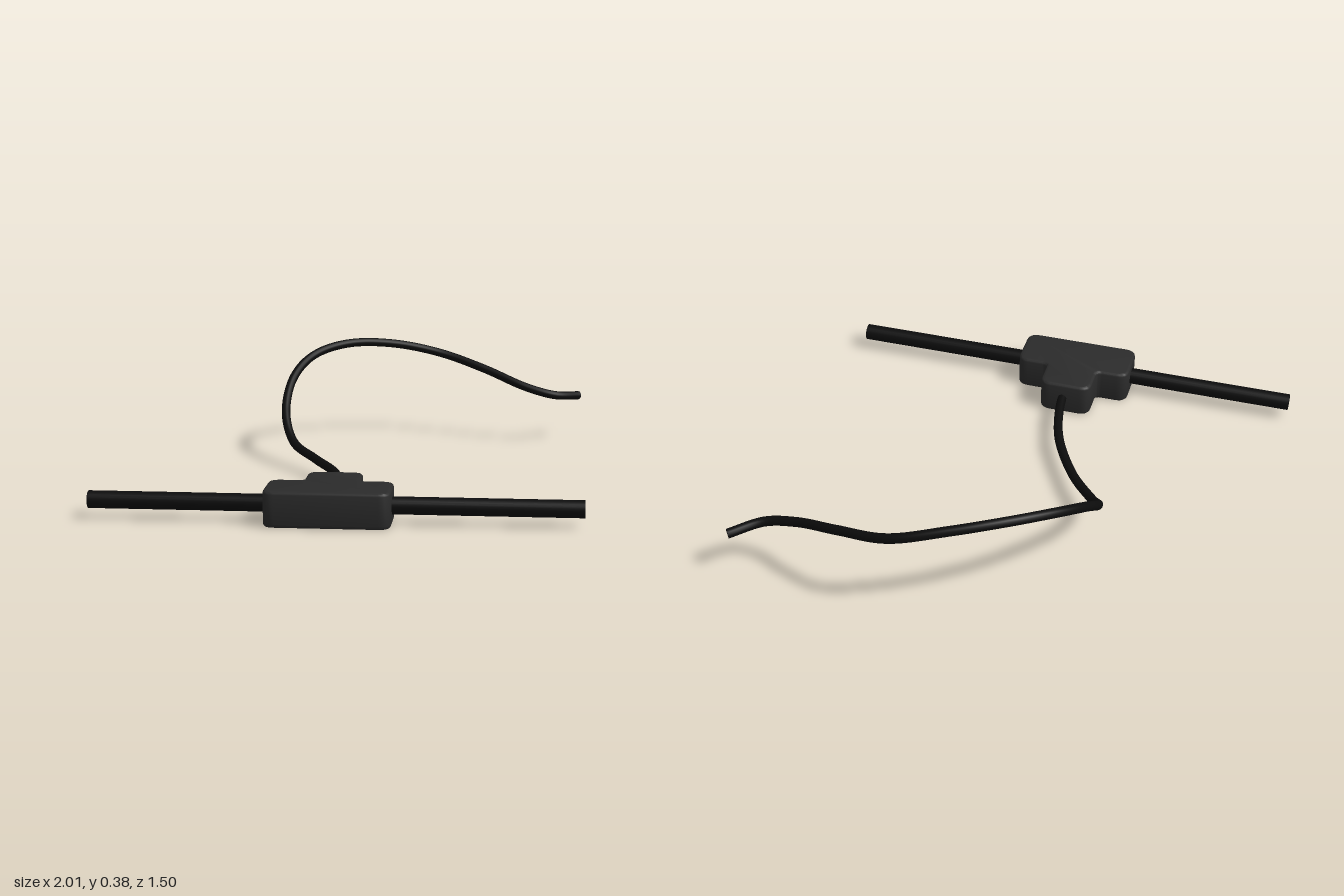
import * as THREE from 'three';
import { toCreasedNormals } from 'three/addons/utils/BufferGeometryUtils.js';

// Polygon outline with every corner rounded
function roundedShape(points, radius) {
  const shape = new THREE.Shape();
  const n = points.length;
  const pts = points.map(([x, y]) => new THREE.Vector2(x, y));
  pts.forEach((p, i) => {
    const toward = (q) => p.clone().add(q.clone().sub(p).setLength(radius));
    const a = toward(pts[(i + n - 1) % n]);
    const b = toward(pts[(i + 1) % n]);
    if (i === 0) shape.moveTo(a.x, a.y);
    else shape.lineTo(a.x, a.y);
    shape.quadraticCurveTo(p.x, p.y, b.x, b.y);
  });
  shape.closePath();
  return shape;
}

export function createModel() {
  const model = new THREE.Group();
  const bodyMat = new THREE.MeshStandardMaterial({ color: 0x2b2b2b });
  const cableMat = new THREE.MeshStandardMaterial({ color: 0x0c0c0c });
  const add = (parent, name, geometry, material) => {
    const mesh = new THREE.Mesh(geometry, material);
    mesh.name = name;
    parent.add(mesh);
    return mesh;
  };

  // Junction and rods, laid along a diagonal
  const junction = new THREE.Group();
  junction.name = 'junction';
  junction.position.set(-0.505, 0, 0.11);
  junction.rotation.y = -0.917;
  model.add(junction);

  // T-shaped housing with rounded corners and softened rims
  const bevel = 0.01, height = 0.116, c = -0.017;
  const outline = [
    [c - 0.19, -0.073], [c + 0.19, -0.073], [c + 0.19, 0.076], [c + 0.08, 0.076],
    [c + 0.08, 0.19], [c - 0.08, 0.19], [c - 0.08, 0.076], [c - 0.19, 0.076],
  ];
  const body = new THREE.ExtrudeGeometry(roundedShape(outline, 0.028), {
    depth: height - 2 * bevel, bevelSize: bevel, bevelThickness: bevel, bevelSegments: 3, curveSegments: 6,
  });
  body.rotateX(-Math.PI / 2).translate(0, bevel, 0);
  add(junction, 'tHousing', toCreasedNormals(body, 0.7), bodyMat);

  // Straight thick leads on either side of the housing
  for (const [name, side] of [['frontLead', 1], ['backLead', -1]]) {
    const lead = new THREE.CylinderGeometry(0.028, 0.028, 0.68, 24).rotateZ(Math.PI / 2);
    add(junction, name, lead, cableMat).position.set(side * 0.441, 0.06, 0);
  }

  // Thin curved cable leaving the stem of the T
  const path = new THREE.CatmullRomCurve3([
    [-0.40, 0.06, 0.01], [-0.353, 0.06, -0.02], [-0.21, 0.06, -0.18], [-0.117, 0.062, -0.37],
    [-0.066, 0.09, -0.53], [0, 0.173, -0.636], [0.112, 0.275, -0.711], [0.246, 0.34, -0.738],
    [0.406, 0.368, -0.711], [0.567, 0.357, -0.631], [0.706, 0.317, -0.513], [0.775, 0.264, -0.342],
    [0.824, 0.207, -0.18], [0.888, 0.178, -0.09], [1, 0.165, -0.059],
  ].map((p) => new THREE.Vector3(...p)));
  const radius = 0.0155;
  add(model, 'cable', new THREE.TubeGeometry(path, 160, radius, 14), cableMat);

  // Flat cap on the free end
  const cap = add(model, 'cableEnd', new THREE.CircleGeometry(radius, 14), cableMat);
  const end = path.getPointAt(1);
  cap.position.copy(end);
  cap.lookAt(end.clone().add(path.getTangentAt(1)));

  return model;
}
